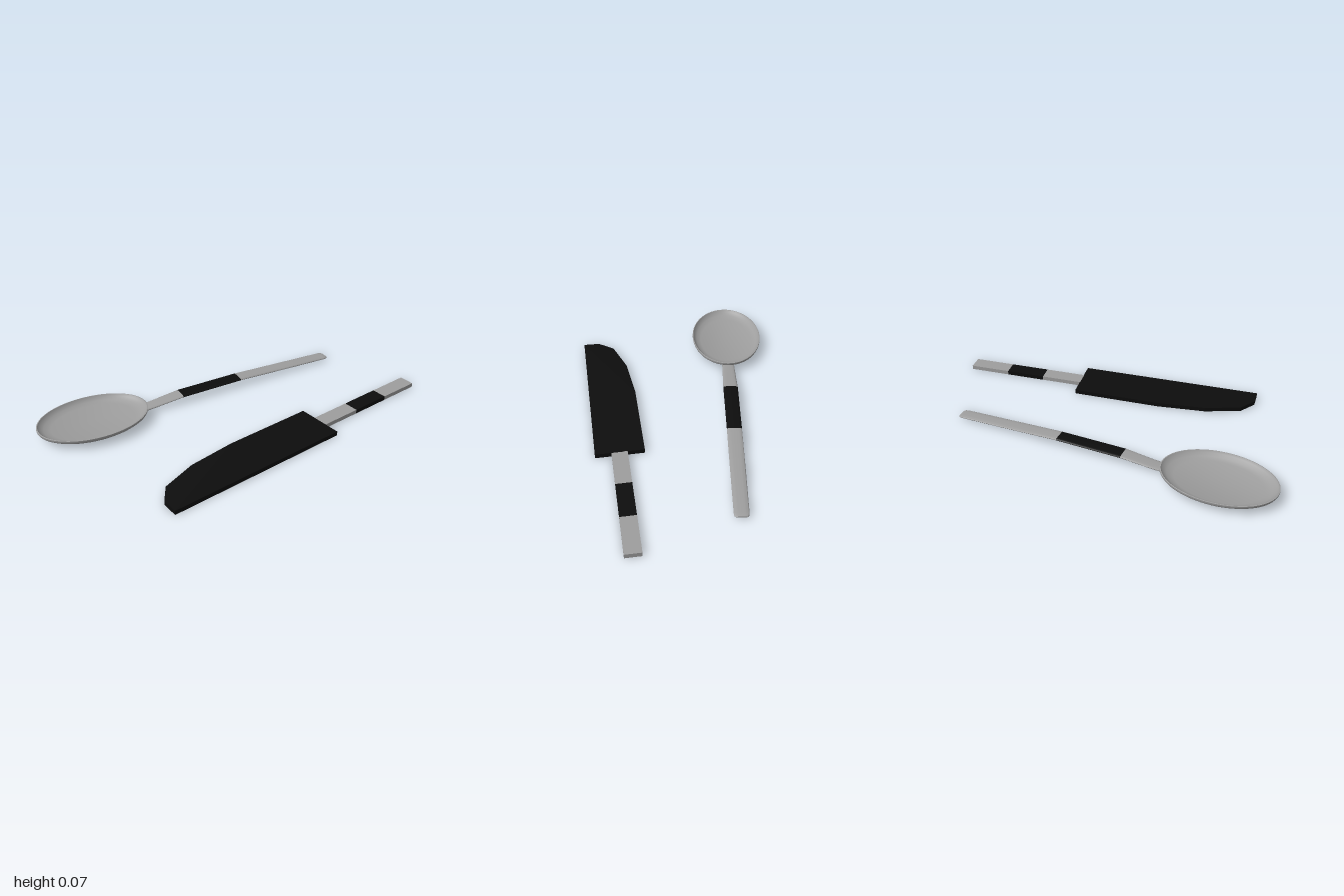
import * as THREE from 'three';
import { toCreasedNormals } from 'three/addons/utils/BufferGeometryUtils.js';

const steel = new THREE.MeshStandardMaterial({ color: 0x9e9e9e });
steel.name = 'steel grey';
const black = new THREE.MeshStandardMaterial({ color: 0x0d0d0d });
black.name = 'black';

const THICK = 0.027;

function part(name, geometry, material) {
  const mesh = new THREE.Mesh(geometry, material);
  mesh.name = name;
  return mesh;
}

// Flat plate lying on y = 0 from an outline of [x, z] points
function plate(outline) {
  const shape = new THREE.Shape(outline.map(([x, z]) => new THREE.Vector2(x, z)));
  const g = new THREE.ExtrudeGeometry(shape, { depth: THICK, bevelEnabled: false });
  return g.rotateX(Math.PI / 2).translate(0, THICK, 0);
}

// Rounded bar through stations [x, y, half width, half thickness], capped at both ends
function bar(stations, sides = 20) {
  const pos = [], index = [];
  const soften = (v, p) => Math.sign(v) * Math.abs(v) ** p;
  for (const [x, y, w, t] of stations) {
    for (let j = 0; j < sides; j++) {
      const a = (j / sides) * Math.PI * 2;
      pos.push(x, y + t * soften(Math.sin(a), 0.7), w * soften(Math.cos(a), 0.7));
    }
  }
  const last = stations.length - 1;
  const first = pos.length / 3;
  pos.push(stations[0][0], stations[0][1], 0, stations[last][0], stations[last][1], 0);
  for (let j = 0; j < sides; j++) {
    const k = (j + 1) % sides;
    for (let i = 0; i < last; i++) {
      const a = i * sides + j, c = i * sides + k;
      index.push(a, a + sides, c, a + sides, c + sides, c);
    }
    index.push(first, j, k, first + 1, last * sides + k, last * sides + j);
  }
  const g = new THREE.BufferGeometry();
  g.setAttribute('position', new THREE.Float32BufferAttribute(pos, 3));
  g.setIndex(index);
  return toCreasedNormals(g, 0.8);
}

function createKnife() {
  const knife = new THREE.Group();
  knife.name = 'knife';
  knife.add(part('knifeBlade', plate([
    [-1, 0.39], [-0.97, 0.29], [-0.87, 0.215], [-0.63, 0.205],
    [-0.32, 0.26], [0.243, 0.415], [0.167, 0.707],
  ]), black));

  // Handle cut into three sections along its length
  const back = [[0.214, 0.515], [0.48, 0.587], [0.735, 0.656], [1, 0.728]];
  const front = [[0.19, 0.61], [0.455, 0.682], [0.71, 0.751], [0.974, 0.823]];
  ['knifeHandleFront', 'knifeGrip', 'knifeHandleEnd'].forEach((name, i) => {
    const outline = [back[i], back[i + 1], front[i + 1], front[i]];
    knife.add(part(name, plate(outline), i === 1 ? black : steel));
  });
  return knife;
}

function createSpoon() {
  const spoon = new THREE.Group();
  spoon.name = 'spoon';

  // Oval bowl: outer underside with a foot, rim, then sloping inside and flat floor
  const profile = [
    [0, 0.001], [0.6, 0.001], [0.69, 0.006], [0.75, 0.014], [0.78, 0.026],
    [0.87, 0.031], [0.94, 0.038], [0.985, 0.048], [1, 0.057], [1, 0.067],
    [0.98, 0.068], [0.95, 0.055], [0.88, 0.041], [0.76, 0.03], [0, 0.029],
  ].map(([r, y]) => new THREE.Vector2(r, y));
  const bowl = new THREE.LatheGeometry(profile, 64).scale(0.358, 1, 0.241);
  spoon.add(part('spoonBowl', toCreasedNormals(bowl, 0.6), steel));

  // Handle rises from under the bowl, runs level through the grip, then drops to its end
  spoon.add(part('spoonNeck', bar([
    [0.25, 0.016, 0.02, 0.005], [0.265, 0.017, 0.034, 0.008], [0.3, 0.02, 0.041, 0.009],
    [0.4, 0.026, 0.043, 0.008], [0.606, 0.047, 0.048, 0.008],
  ]), steel));
  spoon.add(part('spoonGrip', bar([
    [0.606, 0.047, 0.048, 0.008], [1.042, 0.047, 0.047, 0.008],
  ]), black));
  spoon.add(part('spoonHandleEnd', bar([
    [1.042, 0.047, 0.047, 0.008], [1.4, 0.031, 0.046, 0.008], [1.735, 0.017, 0.044, 0.008],
    [1.755, 0.016, 0.041, 0.007], [1.765, 0.016, 0.032, 0.004],
  ]), steel));

  spoon.position.set(-0.642, 0, -0.567);
  spoon.rotation.y = -0.409;
  return spoon;
}

export function createModel() {
  const model = new THREE.Group();
  model.name = 'knifeAndSpoon';
  model.add(createKnife(), createSpoon());
  return model;
}
